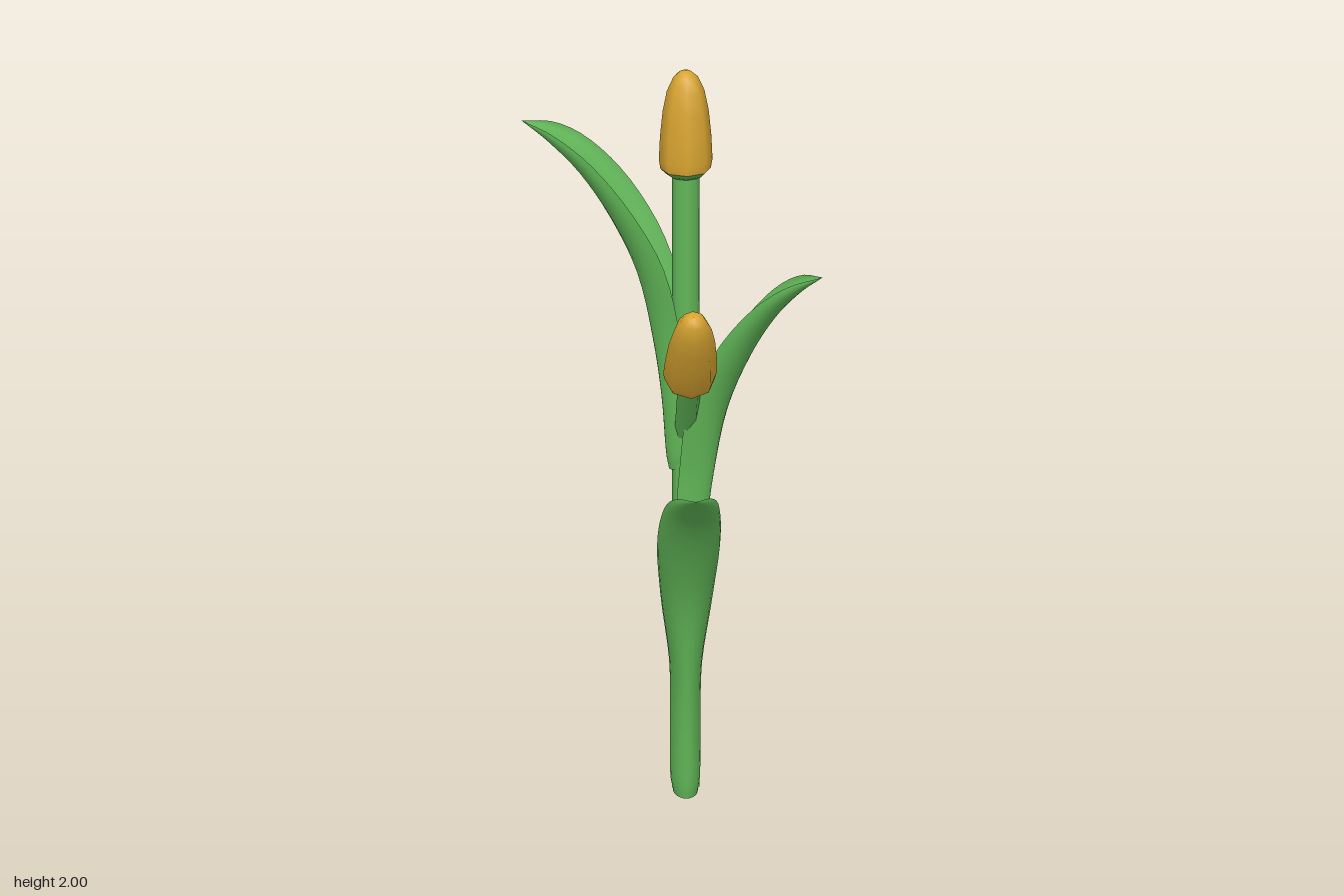
import * as THREE from 'three';

const green = new THREE.MeshStandardMaterial({ color: 0x62b858 });
green.name = 'leafGreen';
const yellow = new THREE.MeshStandardMaterial({ color: 0xd9a531 });
yellow.name = 'budYellow';

const STEM_X = 0.037, STEM_Z = -0.13;

function add(parent, name, geometry, material) {
  const mesh = new THREE.Mesh(geometry, material);
  mesh.name = name;
  parent.add(mesh);
  return mesh;
}

const lathe = (points) =>
  new THREE.LatheGeometry(points.map(([r, y]) => new THREE.Vector2(r, y)), 8);

// Leaf stations: outward distance, height, half width, trough depth
const STATIONS = [
  [0.038, 0.0, 0.032, 0.05],
  [0.045, 0.05, 0.039, 0.062],
  [0.055, 0.2, 0.04, 0.072],
  [0.075, 0.36, 0.043, 0.08],
  [0.11, 0.54, 0.068, 0.085],
  [0.17, 0.69, 0.082, 0.075],
  [0.24, 0.81, 0.076, 0.058],
  [0.31, 0.89, 0.053, 0.036],
  [0.372, 0.94, 0.0, 0.0],
];

// Trough-shaped leaf: outer and inner skins that meet along the rim
function leafGeometry(reach) {
  const mid = new THREE.CatmullRomCurve3(
    STATIONS.map(([r, y]) => new THREE.Vector3(0, y, r * reach)), false, 'catmullrom');
  const size = new THREE.CatmullRomCurve3(
    STATIONS.map(([, , w, d]) => new THREE.Vector3(w, d, 0)), false, 'catmullrom');
  const rows = 32, cols = 12, positions = [], index = [];
  for (const inner of [false, true]) {
    const start = positions.length / 3;
    for (let i = 0; i <= rows; i++) {
      const p = mid.getPoint(i / rows), t = mid.getTangent(i / rows), s = size.getPoint(i / rows);
      const thickness = inner ? 0.12 * s.x : 0;
      for (let j = 0; j <= cols; j++) {
        const a = (j / cols - 0.5) * Math.PI;
        const lift = s.y * (1 - Math.cos(a)) + thickness * Math.cos(a);
        positions.push(s.x * Math.sin(a), p.y + t.z * lift, p.z - t.y * lift);
      }
    }
    for (let i = 0; i < rows; i++) {
      for (let j = 0; j < cols; j++) {
        const a = start + i * (cols + 1) + j, b = a + 1, c = a + cols + 1, d = c + 1;
        if (inner) index.push(a, c, b, b, c, d);
        else index.push(a, b, c, b, d, c);
      }
    }
  }
  const geometry = new THREE.BufferGeometry();
  geometry.setAttribute('position', new THREE.Float32BufferAttribute(positions, 3));
  geometry.setIndex(index);
  geometry.computeVertexNormals();
  return geometry;
}

// Closed bud standing on its stalk, base at the group's origin
function makeBud(name, stalkLength, stalkRadius) {
  const bud = new THREE.Group();
  bud.name = name;
  add(bud, 'petals', lathe([
    [0.066, 0], [0.07, 0.025], [0.067, 0.09], [0.06, 0.16],
    [0.049, 0.215], [0.032, 0.253], [0.015, 0.267], [0, 0.27],
  ]), yellow);
  add(bud, 'budBase', lathe([[stalkRadius, -0.022], [0.052, -0.014], [0.066, 0]]), green);
  const stalk = add(bud, 'stalk',
    new THREE.CylinderGeometry(stalkRadius, stalkRadius, stalkLength, 8), green);
  stalk.position.y = -stalkLength / 2;
  return bud;
}

export function createModel() {
  const model = new THREE.Group();
  model.name = 'flower';

  // Main stem with the top bud
  const topBud = makeBud('topBud', 1.71, 0.036);
  topBud.position.set(STEM_X, 1.73, STEM_Z);
  model.add(topBud);

  // Side bud leaning forward on a branch
  const sideBud = makeBud('sideBud', 0.25, 0.03);
  sideBud.position.set(STEM_X, 1.2, 0.015);
  sideBud.rotation.x = 0.595;
  model.add(sideBud);

  // Three leaves climbing the stem: base height, direction, reach
  const leaves = [
    ['lowerLeaf', 0, 0, 1, 1],
    ['middleLeaf', 0.53, 0.348, 0.145, 1.01],
    ['upperLeaf', 0.9, -0.422, -0.09, 1.16],
  ];
  for (const [name, y, dx, dz, reach] of leaves) {
    const leaf = add(model, name, leafGeometry(reach), green);
    leaf.position.set(STEM_X, y, STEM_Z);
    leaf.rotation.y = Math.atan2(dx, dz);
  }
  return model;
}
